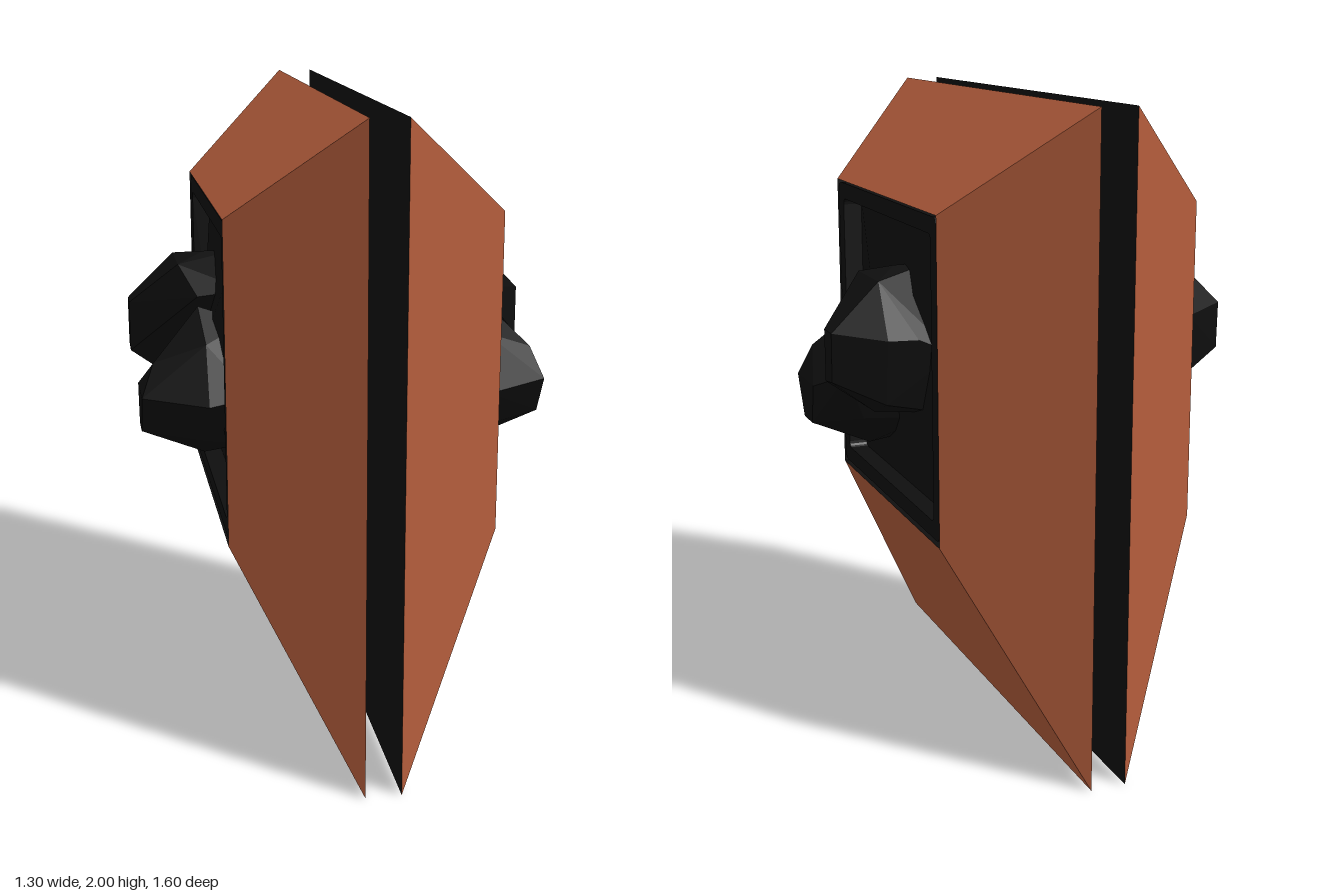
import * as THREE from 'three';
import { ConvexGeometry } from 'three/addons/geometries/ConvexGeometry.js';

const MID = 1.2; // height of the hub axis

// Rectangular ring at depth x, counter-clockwise seen from +x
const ring = (x, y0, y1, z) => [[x, y0, z], [x, y0, -z], [x, y1, -z], [x, y1, z]];

// Four flat sides joining ring a to ring b
function loft(a, b) {
  const p = [];
  for (let i = 0; i < 4; i++) {
    const j = (i + 1) % 4;
    for (const v of [a[i], a[j], b[j], a[i], b[j], b[i]]) p.push(...v);
  }
  const g = new THREE.BufferGeometry();
  g.setAttribute('position', new THREE.Float32BufferAttribute(p, 3));
  g.computeVertexNormals();
  return g;
}

// Mirror across x = 0 with the winding put right
function mirrored(geo) {
  const g = geo.index ? geo.toNonIndexed() : geo.clone();
  g.scale(-1, 1, 1);
  const p = g.attributes.position;
  const a = new THREE.Vector3(), b = new THREE.Vector3();
  for (let i = 0; i < p.count; i += 3) {
    a.fromBufferAttribute(p, i + 1);
    b.fromBufferAttribute(p, i + 2);
    p.setXYZ(i + 1, b.x, b.y, b.z);
    p.setXYZ(i + 2, a.x, a.y, a.z);
  }
  g.computeVertexNormals();
  return g;
}

function roundedRect(path, hw, hh, r) {
  path.moveTo(-hw + r, -hh);
  path.lineTo(hw - r, -hh);
  path.quadraticCurveTo(hw, -hh, hw, -hh + r);
  path.lineTo(hw, hh - r);
  path.quadraticCurveTo(hw, hh, hw - r, hh);
  path.lineTo(-hw + r, hh);
  path.quadraticCurveTo(-hw, hh, -hw, hh - r);
  path.lineTo(-hw, -hh + r);
  path.quadraticCurveTo(-hw, -hh, -hw + r, -hh);
  return path;
}

function rimGeometry() {
  const shape = roundedRect(new THREE.Shape(), 0.482, 0.482, 0.03);
  shape.holes.push(roundedRect(new THREE.Path(), 0.43, 0.43, 0.02));
  const g = new THREE.ExtrudeGeometry(shape, { depth: 0.11, bevelEnabled: false, curveSegments: 4 });
  g.rotateY(Math.PI / 2);
  g.translate(0.3, MID, 0);
  return g;
}

const hull = (pts) => new ConvexGeometry(pts.map((p) => new THREE.Vector3(...p)));

export function createModel() {
  const model = new THREE.Group();
  model.name = 'framedCore';
  const copper = new THREE.MeshStandardMaterial({ color: 0xb45d3c });
  copper.name = 'copper';
  const black = new THREE.MeshStandardMaterial({ color: 0x0f0f0f });
  black.name = 'black';

  const outer = ring(0.055, 0, 2, 0.8);
  const inner = ring(0.413, 0.705, 1.69, 0.488);

  const parts = {
    // sloping sides of the shell and the lip turned into the opening
    Frame: [loft(outer, inner), copper],
    FrameLip: [loft(inner, ring(0.3, 0.705, 1.69, 0.488)), black],
    // shallow pyramid closing the inner side
    BackPlate: [loft(ring(0.032, MID, MID, 0), outer), black],
    // recessed window
    WindowRim: [rimGeometry(), black],
    WindowFloor: [loft(ring(0.34, 0.72, 1.68, 0.48), ring(0.43, MID, MID, 0)), black],
    // faceted lumps growing out of the window
    UpperLump: [hull([
      [0.65, 1.32, -0.225], [0.65, 1.32, -0.15], [0.65, 1.16, -0.15], [0.65, 1.17, -0.22],
      [0.5, 1.465, -0.22], [0.5, 1.465, -0.02], [0.5, 1.3, -0.305], [0.5, 1.1, -0.28],
      [0.41, 1.49, -0.1], [0.41, 1.3, -0.32], [0.3, 1.49, -0.1], [0.3, 1.25, -0.32],
      [0.3, 1.05, -0.25], [0.56, 1.25, -0.075], [0.45, 1.38, 0.08], [0.3, 1.4, 0.1],
      [0.5, 1.05, -0.15],
    ]), black],
    LowerLump: [hull([
      [0.64, 1.1, 0.035], [0.64, 0.975, 0.06], [0.64, 0.975, 0.15], [0.64, 1.1, 0.22],
      [0.6, 1.2, 0.18], [0.44, 0.88, 0.1], [0.44, 1.08, 0.29], [0.44, 0.95, 0.21],
      [0.44, 1.26, 0.22], [0.3, 0.9, 0.1], [0.3, 1.1, 0.27], [0.5, 1.0, -0.04],
      [0.56, 1.15, -0.07], [0.3, 1.3, 0.1], [0.45, 1.35, 0.08], [0.3, 1.0, -0.1],
    ]), black],
  };

  for (const side of ['left', 'right']) {
    const half = new THREE.Group();
    half.name = side + 'Half';
    for (const [name, [geo, mat]] of Object.entries(parts)) {
      const mesh = new THREE.Mesh(side === 'left' ? geo : mirrored(geo), mat);
      mesh.name = side + name;
      half.add(mesh);
    }
    model.add(half);
  }

  // rounded hub joining the two halves
  const profile = [[0, -0.1], [0.235, -0.1], [0.25, -0.04], [0.262, -0.015],
    [0.262, 0.015], [0.25, 0.04], [0.235, 0.1], [0, 0.1]];
  const hubGeo = new THREE.LatheGeometry(profile.map((p) => new THREE.Vector2(...p)), 24);
  const hub = new THREE.Mesh(hubGeo, black);
  hub.name = 'hub';
  hub.rotation.z = Math.PI / 2;
  hub.position.y = MID;
  model.add(hub);

  return model;
}
